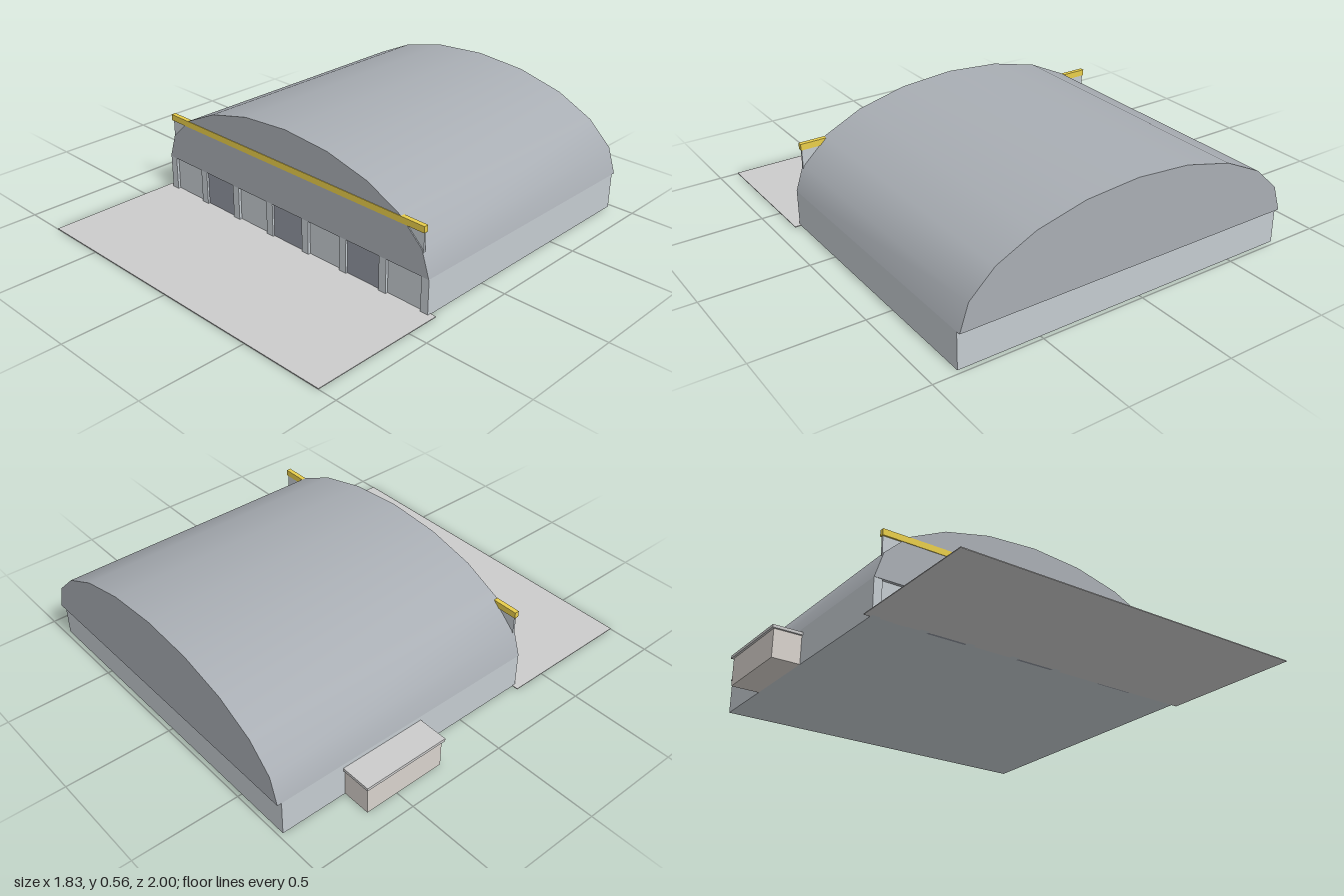
import * as THREE from 'three';
import { toCreasedNormals } from 'three/addons/utils/BufferGeometryUtils.js';

const mat = (color) => new THREE.MeshStandardMaterial({ color });

export function createModel() {
  const model = new THREE.Group();
  const grey = mat(0xcccccc);
  const wallMat = mat(0xc4cbd0);
  const vaultMat = mat(0xa9aeb4);
  const doorMat = mat(0x90959f);
  const yellow = mat(0xe8cd4a);
  const shedMat = mat(0xd8d2cc);

  // Box given by its lower and upper bounds
  function box(name, material, [x0, y0, z0], [x1, y1, z1]) {
    const geo = new THREE.BoxGeometry(x1 - x0, y1 - y0, z1 - z0);
    const mesh = new THREE.Mesh(geo, material);
    mesh.name = name;
    mesh.position.set((x0 + x1) / 2, (y0 + y1) / 2, (z0 + z1) / 2);
    model.add(mesh);
  }

  const left = -0.77, right = 0.88, mid = (left + right) / 2;
  const eaves = 0.17, front = 0.34;

  // Low walls under the vault
  box('walls', wallMat, [left, 0, -0.98], [right, eaves, front]);

  // Elliptical barrel vault in ten facets, overhanging both ends
  const profile = new THREE.Shape();
  const segments = 10;
  for (let i = 0; i <= segments; i++) {
    const a = (i / segments) * Math.PI;
    const x = mid + 0.825 * Math.cos(a), y = eaves + 0.395 * Math.sin(a);
    if (i === 0) profile.moveTo(x, y);
    else profile.lineTo(x, y);
  }
  profile.closePath();
  const vaultGeo = new THREE.ExtrudeGeometry(profile, { depth: 1.355, bevelEnabled: false });
  vaultGeo.translate(0, 0, -1);
  const vault = new THREE.Mesh(toCreasedNormals(vaultGeo, 0.8), vaultMat);
  vault.name = 'vaultRoof';
  model.add(vault);

  // Facade panel showing beside the vault, with its coloured band
  box('facadePanel', wallMat, [-0.735, eaves, front], [0.845, 0.37, 0.35]);
  box('facadeBand', yellow, [-0.74, 0.37, 0.336], [0.85, 0.4, 0.358]);

  // Pilasters divide the front into seven bays; every second bay is a door
  const bays = 7, half = 0.02;
  const first = left + half, step = (right - left - 2 * half) / bays;
  for (let i = 0; i <= bays; i++) {
    const x = first + i * step;
    box('pilaster', wallMat, [x - half, 0, front - 0.01], [x + half, eaves, 0.353]);
    if (i % 2 === 1 && i < bays) {
      box('door', doorMat, [x + half, 0, front - 0.01], [x + step - half, eaves, 0.343]);
    }
  }

  // Thin apron in front
  box('apron', grey, [-0.8, 0, 0.336], [0.91, 0.004, 1]);

  // Side shed with a flat roof slab
  box('shed', shedMat, [-0.905, 0, -0.66], [left, 0.136, -0.255]);
  box('shedRoof', grey, [-0.915, 0.136, -0.67], [left, 0.15, -0.245]);

  return model;
}
